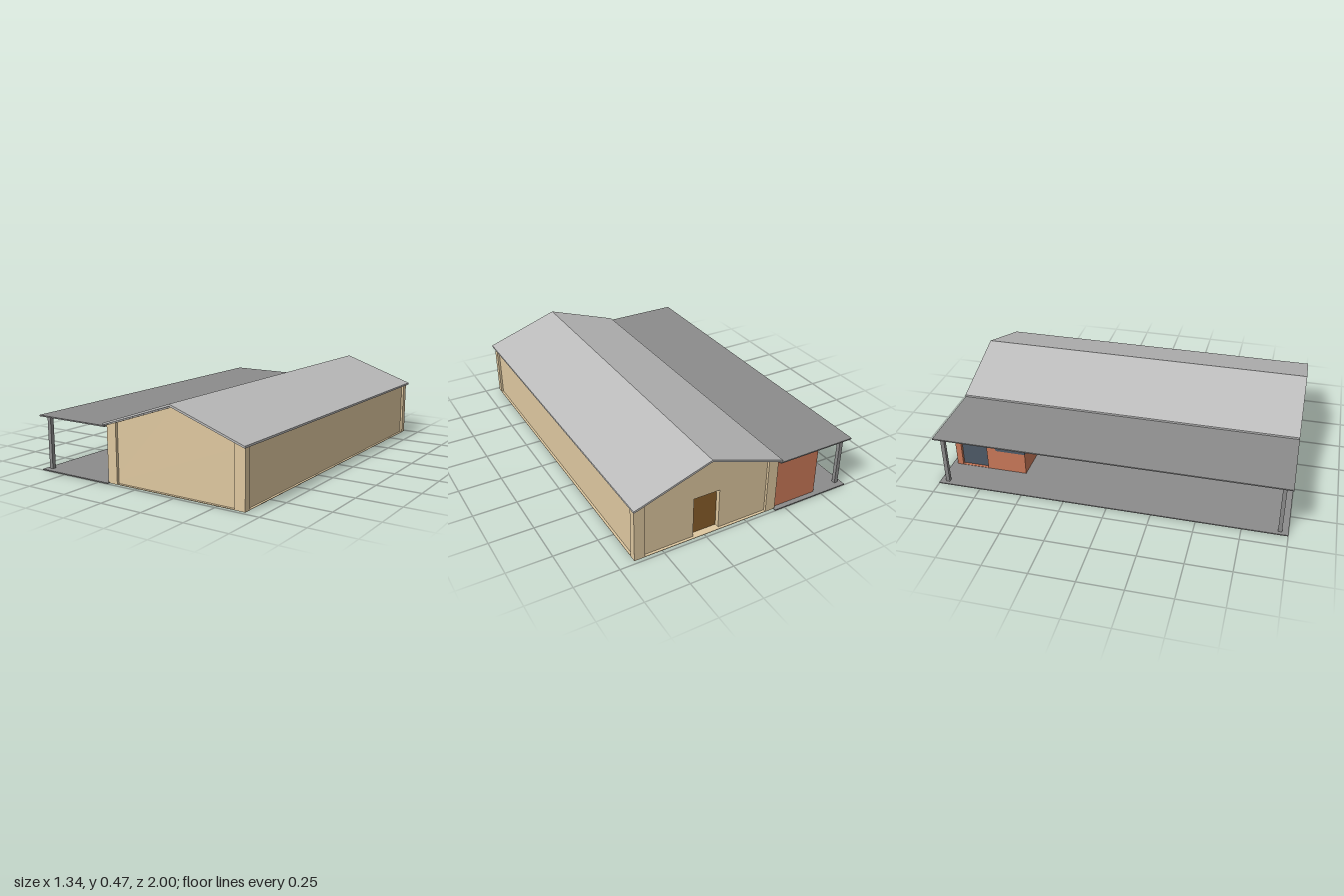
import * as THREE from 'three';

const mat = (color) => new THREE.MeshStandardMaterial({ color });
const wallMat = mat(0xdfc8a0), roofMat = mat(0xbbbbbb), porchMat = mat(0x8c8c8c);
const brickMat = mat(0xcb7959), glassMat = mat(0x4f5b68), doorMat = mat(0x8a5f2a);

export function createModel() {
  const root = new THREE.Group();
  const RIDGE = 0.232; // x of the ridge, the middle of the hall

  const add = (name, geometry, material) => {
    const mesh = new THREE.Mesh(geometry, material);
    mesh.name = name;
    root.add(mesh);
    return mesh;
  };
  // box given by its two extreme corners
  const box = (name, material, [x0, y0, z0], [x1, y1, z1]) =>
    add(name, new THREE.BoxGeometry(x1 - x0, y1 - y0, z1 - z0)
      .translate((x0 + x1) / 2, (y0 + y1) / 2, (z0 + z1) / 2), material);
  const polygon = (points) => new THREE.Shape(points.map(([x, y]) => new THREE.Vector2(x, y)));
  const extrude = (shape, depth) => new THREE.ExtrudeGeometry(shape, { depth, bevelEnabled: false });
  // outline mirrored about the ridge line
  const gable = (half, eave, apex) => polygon([
    [RIDGE - half, 0], [RIDGE + half, 0], [RIDGE + half, eave], [RIDGE, apex], [RIDGE - half, eave],
  ]);

  // hall: solid body, and a back wall pierced by the doorway
  add('hallWalls', extrude(gable(0.415, 0.317, 0.456), 1.9).translate(0, 0, -0.935), wallMat);
  const backWall = gable(0.415, 0.317, 0.456);
  backWall.holes.push(polygon([[0.157, 0.003], [0.157, 0.243], [0.311, 0.243], [0.311, 0.003]]));
  add('backWall', extrude(backWall, 0.03).translate(0, 0, -0.965), wallMat);
  box('backDoor', doorMat, [0.158, 0.003, -0.939], [0.31, 0.242, -0.934]);
  box('hallFloor', wallMat, [RIDGE - 0.428, 0, -0.98], [RIDGE + 0.428, 0.003, 0.98]);

  // corner pillars, with tops cut to the roof slope
  for (const sx of [-1, 1]) {
    for (const sz of [-1, 1]) {
      const a = RIDGE + sx * 0.428, b = RIDGE + sx * 0.368;
      const points = [[a, 0], [a, 0.314], [b, 0.333], [b, 0]];
      add('cornerPillar', extrude(polygon(points), 0.04)
        .translate(0, 0, sz > 0 ? 0.94 : -0.98), wallMat);
    }
  }

  // pitched roof, a folded sheet
  const roof = polygon([
    [RIDGE - 0.438, 0.315], [RIDGE, 0.463], [RIDGE + 0.438, 0.315],
    [RIDGE + 0.438, 0.326], [RIDGE, 0.475], [RIDGE - 0.438, 0.326],
  ]);
  add('hallRoof', extrude(roof, 2).translate(0, 0, -1), roofMat);

  // porch: slab, flat roof and end posts
  box('porchSlab', porchMat, [-0.667, 0, -1], [-0.188, 0.006, 1]);
  box('porchRoof', porchMat, [-0.672, 0.306, -1], [-0.196, 0.313, 1]);
  for (const z of [-0.955, 0.955]) {
    box('porchPost', porchMat, [-0.646, 0.006, z - 0.011], [-0.624, 0.306, z + 0.011]);
  }

  // brick annex under the porch roof, with a doorway in its outer side
  box('annexCore', brickMat, [-0.45, 0.006, -0.97], [-0.18, 0.306, -0.54]);
  const side = polygon([[-0.97, 0.006], [-0.54, 0.006], [-0.54, 0.306], [-0.97, 0.306]]);
  side.holes.push(polygon([[-0.935, 0.008], [-0.935, 0.24], [-0.775, 0.24], [-0.775, 0.008]]));
  add('annexSideWall', extrude(side, 0.02).rotateY(-Math.PI / 2).translate(-0.45, 0, 0), brickMat);
  box('annexDoor', glassMat, [-0.453, 0.008, -0.935], [-0.449, 0.24, -0.775]);

  // window wrapping the annex's front outer corner
  box('windowFront', glassMat, [-0.471, 0.138, -0.56], [-0.248, 0.24, -0.539]);
  box('windowSide', glassMat, [-0.471, 0.138, -0.72], [-0.452, 0.24, -0.56]);

  return root;
}
